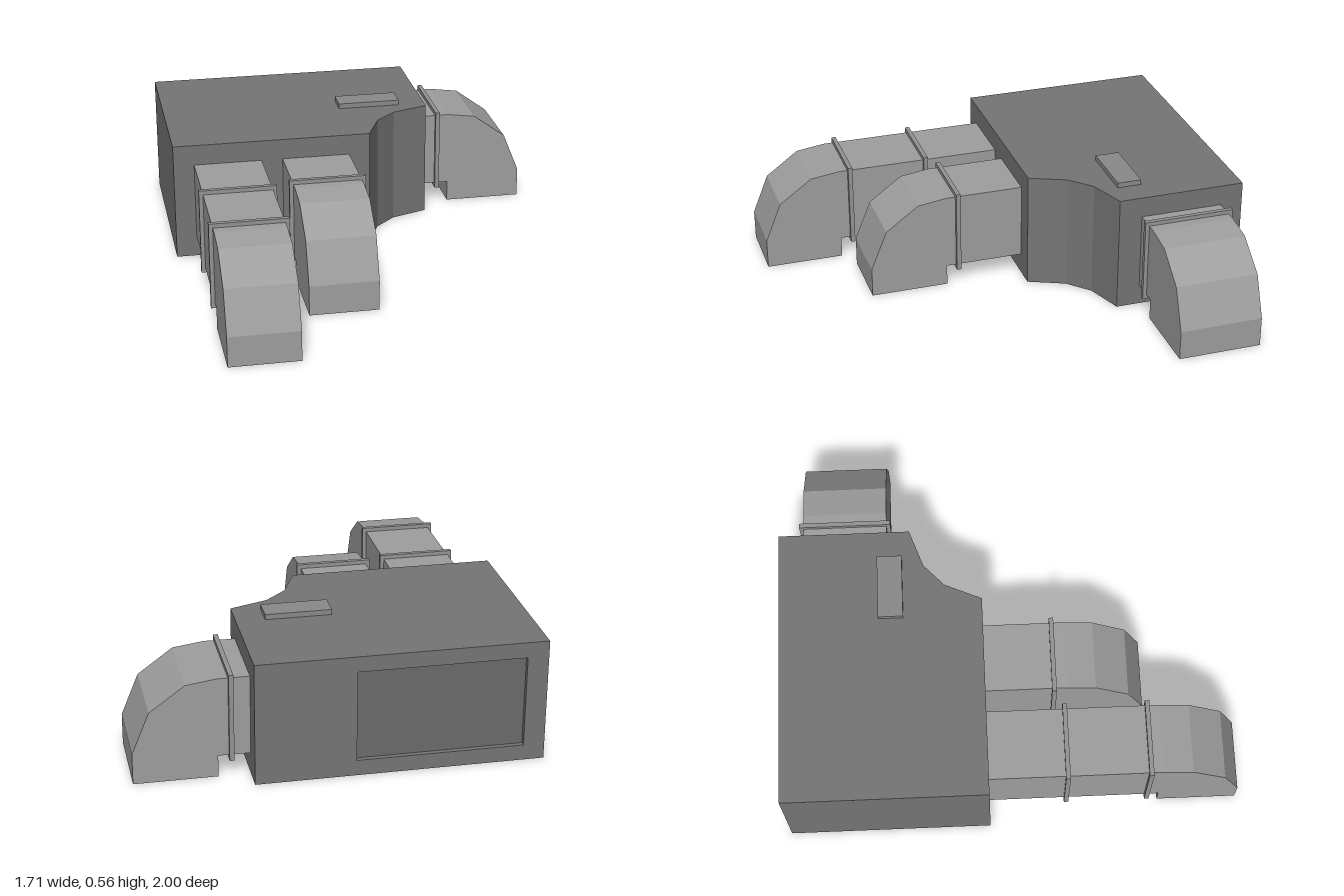
import * as THREE from 'three';

const grey = (color) => new THREE.MeshStandardMaterial({ color, flatShading: true });
const housingGrey = grey(0x757575);
const panelGrey = grey(0x6b6b6b);
const plateGrey = grey(0x8a8a8a);
const ductGrey = grey(0x9e9e9e);
const flangeGrey = grey(0x949494);

function addMesh(parent, name, geometry, material) {
  const mesh = new THREE.Mesh(geometry, material);
  mesh.name = name;
  parent.add(mesh);
  return mesh;
}

function shapeFrom(points) {
  return new THREE.Shape(points.map(([x, y]) => new THREE.Vector2(x, y)));
}

function extrude(shape, depth) {
  return new THREE.ExtrudeGeometry(shape, { depth, bevelEnabled: false });
}

// Square duct running along +x from the origin, bending down to the ground
// at the given reach; flanges lists collar positions along the run.
function createDuct(name, reach, width, flanges) {
  const duct = new THREE.Group();
  duct.name = name;
  const bend = reach - 0.352;
  const profile = shapeFrom([
    [-0.01, 0.095], [bend, 0.095], [bend, 0], [reach, 0], [reach, 0.135],
    [reach - 0.073, 0.315], [reach - 0.222, 0.424], [bend, 0.442], [-0.01, 0.442],
  ]);
  addMesh(duct, 'ductElbow', extrude(profile, width).translate(0, 0, -width / 2), ductGrey);
  for (const at of flanges) {
    addMesh(duct, 'flange', new THREE.BoxGeometry(0.02, 0.385, width + 0.035), flangeGrey)
      .position.set(at, 0.268, 0);
  }
  return duct;
}

export function createModel() {
  const model = new THREE.Group();
  model.name = 'ductedUnit';
  const left = 0.368, right = -0.855, height = 0.535;
  const back = -1, front = -0.107, recess = 0.025;

  // Housing with a concave faceted corner (plan drawn as x, -z)
  const plan = shapeFrom([
    [right, -front], [0.037, -front], [0.107, 0.27], [0.202, 0.36],
    [left, 0.42], [left, -back - recess], [right, -back - recess],
  ]);
  addMesh(model, 'housing', extrude(plan, height).rotateX(-Math.PI / 2), housingGrey);

  // Back frame around the recessed intake panel
  const frame = shapeFrom([[right, 0], [left, 0], [left, height], [right, height]]);
  frame.holes.push(shapeFrom([[-0.765, 0.068], [-0.765, 0.467], [-0.055, 0.467], [-0.055, 0.068]]));
  addMesh(model, 'backFrame', extrude(frame, recess).translate(0, 0, back), housingGrey);
  addMesh(model, 'intakePanel', new THREE.BoxGeometry(0.71, 0.399, 0.01), panelGrey)
    .position.set(-0.41, 0.2675, back + recess + 0.002);

  // Small raised plate on the roof
  addMesh(model, 'roofPlate', new THREE.BoxGeometry(0.285, 0.023, 0.11), plateGrey)
    .position.set(0.102, height + 0.0115, -0.51);

  // Two ducts at the front, one at the side
  const longDuct = createDuct('longFrontDuct', 1.107, 0.305, [0.342, 0.702]);
  longDuct.position.set(-0.61, 0, front);
  const shortDuct = createDuct('shortFrontDuct', 0.707, 0.305, [0.302]);
  shortDuct.position.set(-0.21, 0, front);
  for (const duct of [longDuct, shortDuct]) duct.rotation.y = -Math.PI / 2;
  const sideDuct = createDuct('sideDuct', 0.487, 0.375, [0.08]);
  sideDuct.position.set(left, 0, -0.712);
  model.add(longDuct, shortDuct, sideDuct);

  return model;
}
